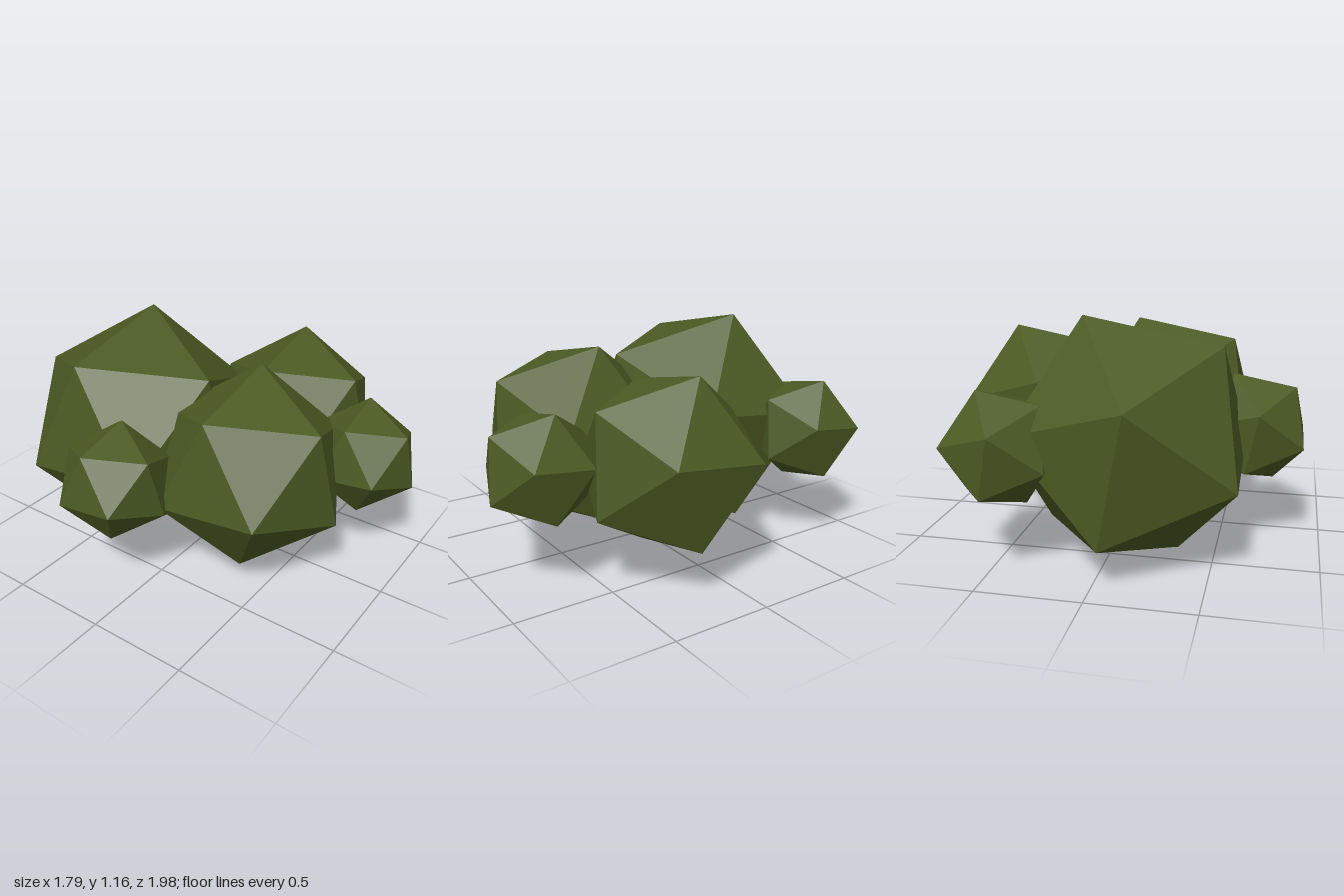
import * as THREE from 'three';

export function createModel() {
  const bush = new THREE.Group();
  bush.name = 'bush';
  const leafGreen = new THREE.MeshStandardMaterial({ color: 0x4b5a23, flatShading: true });
  leafGreen.name = 'leaf green';

  // Leaf clumps: name, radius, x, z; all share one height and one tilt
  const clumps = [
    ['largeBackClump', 0.625, -0.1, -0.43],
    ['largeFrontClump', 0.505, -0.17, 0.32],
    ['mediumLeftClump', 0.46, 0.5, 0.19],
    ['smallFrontClump', 0.29, 0.25, 0.725],
    ['smallRightClump', 0.29, -0.655, -0.13],
    ['smallBackClump', 0.29, 0.445, -0.725],
  ];
  for (const [name, radius, x, z] of clumps) {
    const clump = new THREE.Mesh(new THREE.IcosahedronGeometry(radius, 0), leafGreen);
    clump.name = name;
    clump.position.set(x, 0.59, z);
    clump.rotation.set(-0.12, 0.015, 0.2);
    bush.add(clump);
  }
  return bush;
}
